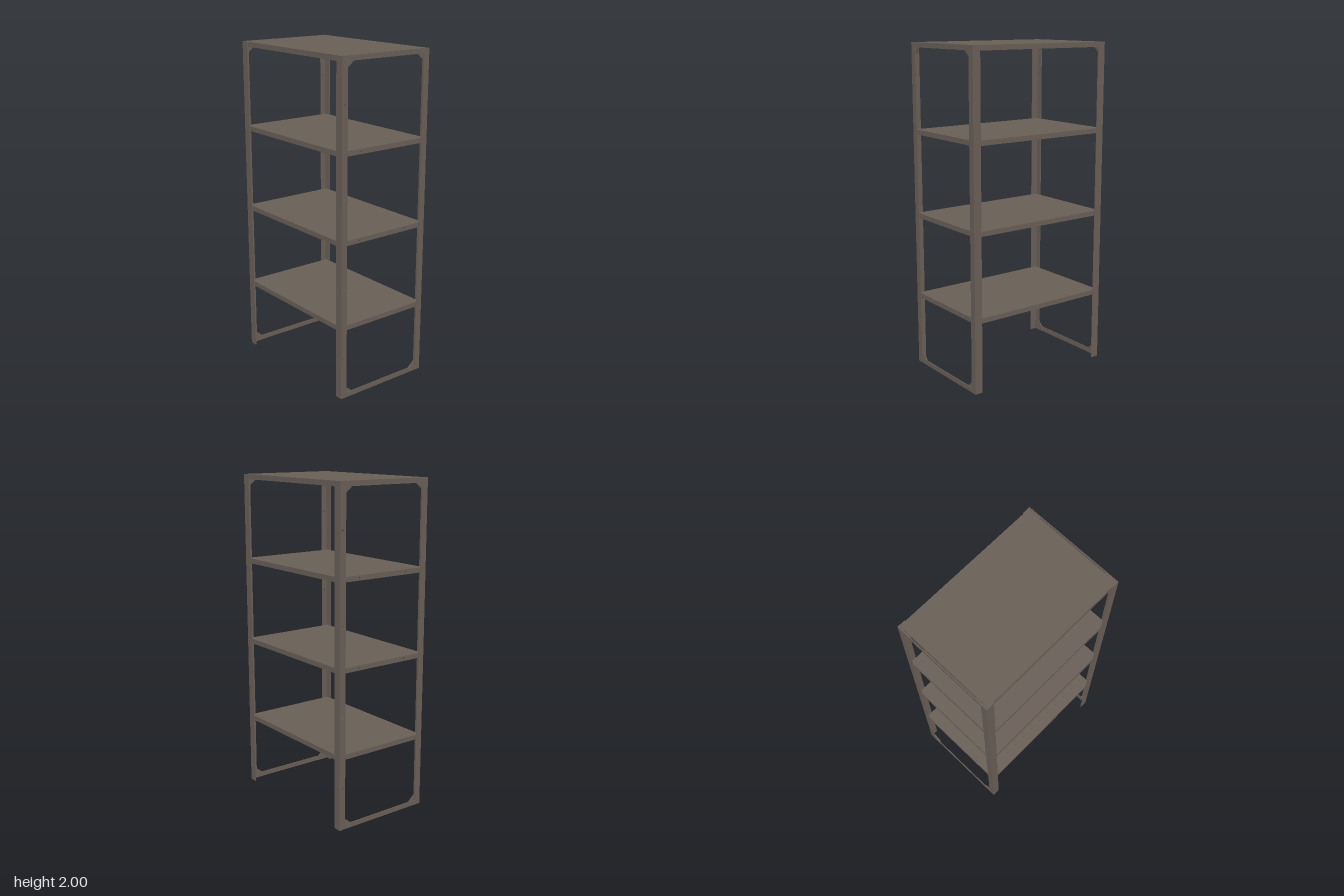
import * as THREE from 'three';

const W = 0.48, D = 0.315, H = 2;      // half width, half depth, height
const T = 0.005;                       // sheet thickness
const SHELF_X = 0.467, SHELF_Z = 0.31, LIP = 0.03;
const SHELF_TOPS = [0.455, 0.97, 1.485, 2];
const BOLT_Z = 0.17;

const metal = new THREE.MeshStandardMaterial({ color: 0x685e56 });
metal.name = 'brownGreyMetal';

function polygon(points, Type = THREE.Shape) {
  return new Type(points.map(([a, b]) => new THREE.Vector2(a, b)));
}

function circleHole(z, y, r = 0.005) {
  const p = new THREE.Path();
  p.absarc(z, y, r, 0, Math.PI * 2, true);
  return p;
}

// Upright plate drawn in (z, y), centred on the given x
function sidePlate(name, shape, x, thickness) {
  const g = new THREE.ExtrudeGeometry(shape, { depth: thickness, bevelEnabled: false, curveSegments: 6 });
  g.translate(0, 0, -thickness / 2);
  g.rotateY(-Math.PI / 2);
  const m = new THREE.Mesh(g, metal);
  m.name = name;
  m.position.x = x;
  return m;
}

function box(name, w, h, d, x, y, z) {
  const m = new THREE.Mesh(new THREE.BoxGeometry(w, h, d), metal);
  m.name = name;
  m.position.set(x, y, z);
  return m;
}

// Open rectangular end frame with bolt holes, angle flanges and corner gussets
function endFrame(side) {
  const g = new THREE.Group();
  g.name = side > 0 ? 'leftEndFrame' : 'rightEndFrame';

  const s = polygon([[-D, 0], [D, 0], [D, H], [-D, H]]);
  s.holes.push(polygon([[-0.275, 0.03], [-0.275, 1.972], [0.275, 1.972], [0.275, 0.03]], THREE.Path));
  for (const z of [-0.295, 0.295])
    for (const y of [0.255, 0.685, 1.215, 1.74]) s.holes.push(circleHole(z, y));
  for (const z of [-BOLT_Z, BOLT_Z]) s.holes.push(circleHole(z, H - LIP / 2));
  g.add(sidePlate('sideFrame', s, side * (W - T / 2), T));

  for (const sz of [-1, 1]) {
    // Post flange facing front or back
    g.add(box('postFlange', 0.05 - T, H, T, side * (W - T - (0.05 - T) / 2), H / 2, sz * (D - T / 2)));

    // Corner gussets inside the frame
    for (const top of [false, true]) {
      const y = v => (top ? H - v : v);
      const pts = [[0.31, 0.002], [0.232, 0.002], [0.232, 0.03], [0.275, 0.065], [0.31, 0.065]];
      const shape = polygon(pts.map(([a, b]) => [sz * a, y(b)]));
      g.add(sidePlate('cornerGusset', shape, side * (W - T - 0.003), 0.006));
    }
  }
  return g;
}

// Shelf tray with its lips folded down
function shelf(top) {
  const g = new THREE.Group();
  g.name = 'shelf';
  g.add(box('shelfPanel', SHELF_X * 2, T, SHELF_Z * 2, 0, top - T / 2, 0));
  for (const s of [-1, 1]) {
    const h = LIP - T, mid = top - T - h / 2;
    g.add(box('shelfLongLip', SHELF_X * 2, h, T, 0, mid, s * (SHELF_Z - T / 2)));

    const z = SHELF_Z - T;
    const lip = polygon([[-z, top - LIP], [z, top - LIP], [z, top - T], [-z, top - T]]);
    for (const b of [-BOLT_Z, BOLT_Z]) lip.holes.push(circleHole(b, top - LIP / 2));
    g.add(sidePlate('shelfEndLip', lip, s * (SHELF_X - T / 2), T));
  }
  return g;
}

export function createModel() {
  const model = new THREE.Group();
  model.name = 'shelvingUnit';
  model.add(endFrame(1), endFrame(-1));
  for (const top of SHELF_TOPS) model.add(shelf(top));
  // Small blank plate on the front edge of the top shelf
  model.add(box('frontPlate', 0.08, 0.024, 0.002, 0, H - LIP / 2, SHELF_Z + 0.001));
  return model;
}
